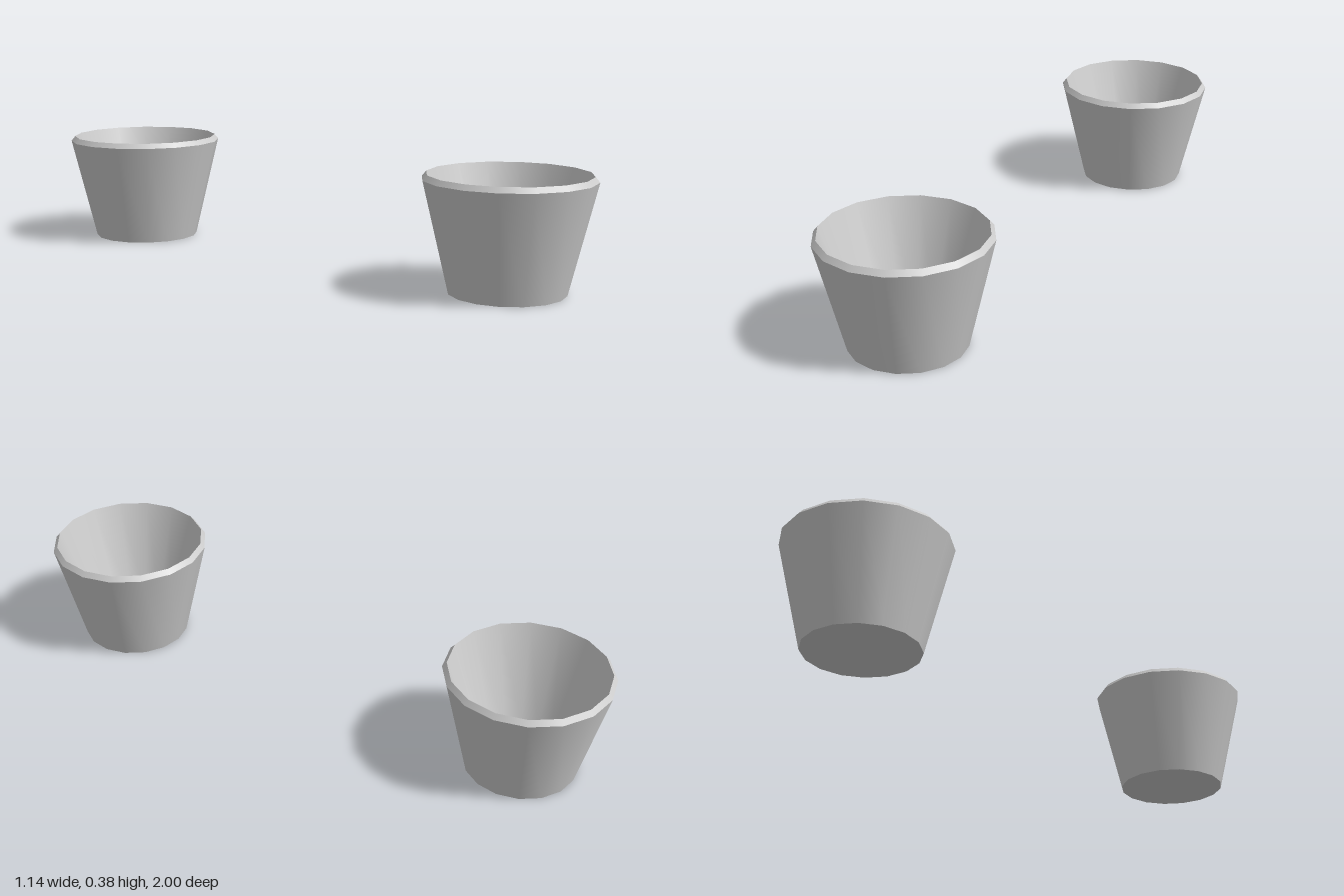
import * as THREE from 'three';
import { mergeGeometries } from 'three/addons/utils/BufferGeometryUtils.js';

const SIDES = 16;

// Each profile span is its own lathe, so edges between spans stay sharp
function lathedSpans(profile) {
  const points = profile.map(([r, y]) => new THREE.Vector2(r, y));
  const spans = [];
  for (let i = 0; i < points.length - 1; i++) {
    spans.push(new THREE.LatheGeometry([points[i], points[i + 1]], SIDES));
  }
  return mergeGeometries(spans);
}

export function createModel() {
  const model = new THREE.Group();
  model.name = 'cups';
  const material = new THREE.MeshStandardMaterial({ color: 0xcccccc });

  // Underside, tapered wall, bevelled rim, inner wall, inner floor
  const cupGeometry = lathedSpans([
    [0, 0], [0.188, 0], [0.275, 0.36], [0.261, 0.377], [0.141, 0.04], [0, 0.04],
  ]);

  // Two cups on opposite corners
  for (const [name, side] of [['frontLeftCup', 1], ['backRightCup', -1]]) {
    const cup = new THREE.Mesh(cupGeometry, material);
    cup.name = name;
    cup.position.set(0.295 * side, 0, 0.725 * side);
    model.add(cup);
  }
  return model;
}
